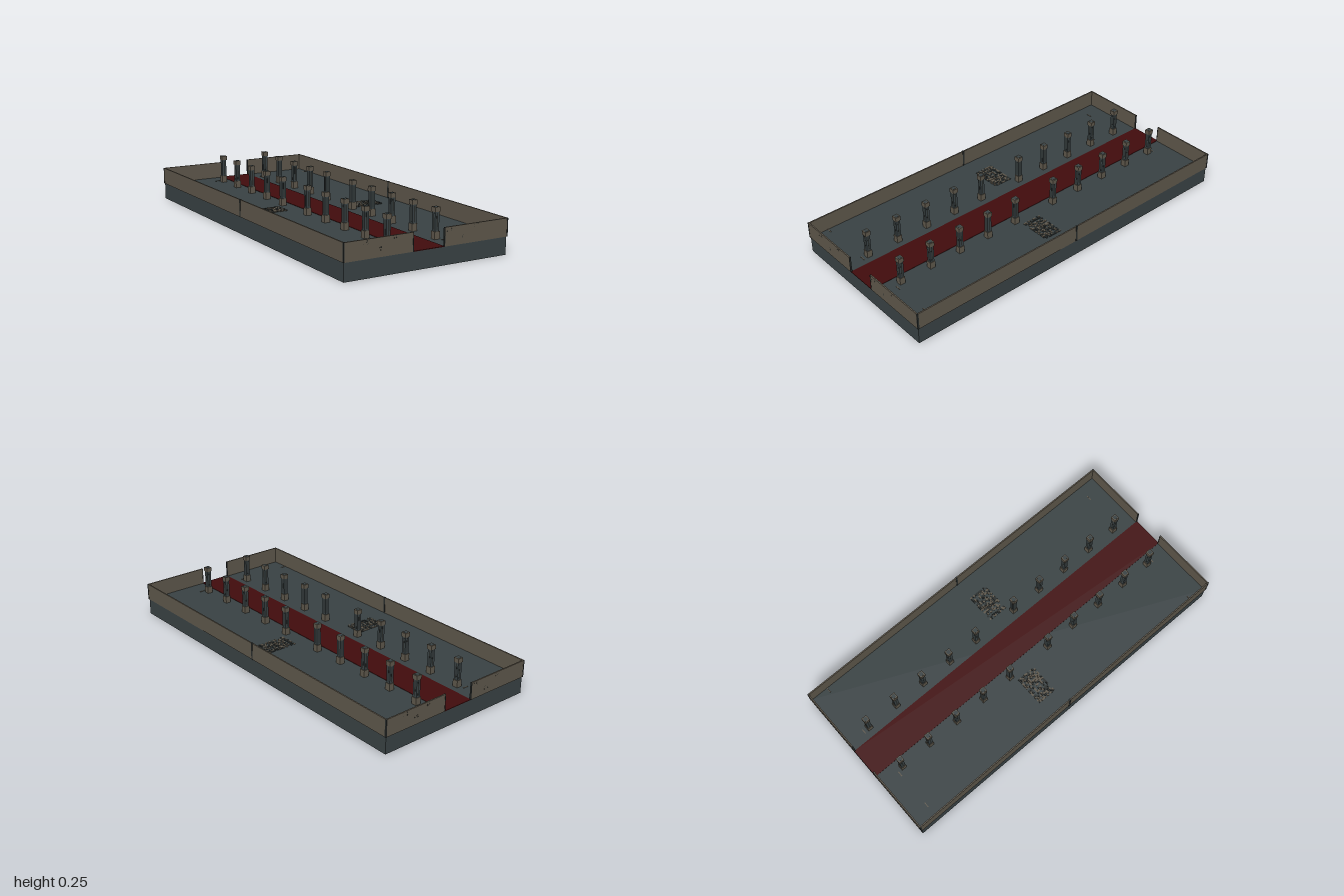
import * as THREE from 'three';

const mat = (name, color) => {
  const m = new THREE.MeshStandardMaterial({ color });
  m.name = name;
  return m;
};

export function createModel() {
  const stone = mat('slate stone', 0x384143);
  const brick = mat('brown stone', 0x5d564a);
  const dark = mat('dark stone', 0x282c2b);
  const red = mat('dark red carpet', 0x410b0c);
  const model = new THREE.Group();
  model.name = 'pillaredHall';

  // Box given by its centre in x and z and its bottom in y
  const box = (parent, name, m, w, h, d, x, y, z) => {
    const mesh = new THREE.Mesh(new THREE.BoxGeometry(w, h, d), m);
    mesh.name = name;
    mesh.position.set(x, y + h / 2, z);
    parent.add(mesh);
    return mesh;
  };
  let seed = 7;
  const rand = () => (seed = (seed * 16807) % 2147483647) / 2147483647;

  const floorY = 0.09;
  box(model, 'floorSlab', stone, 0.906, floorY, 1.99, 0, 0, 0);
  box(model, 'carpet', red, 0.176, 0.003, 1.996, 0, floorY - 0.001, 0);

  // Perimeter walls, open where the carpet passes through
  const wallH = 0.091, t = 0.007;
  for (const sx of [-1, 1]) {
    box(model, 'sideWall', brick, t, wallH, 1.99, sx * 0.4535, floorY, 0);
    box(model, 'wallSeam', dark, t + 0.003, wallH + 0.001, 0.01, sx * 0.4535, floorY, 0);
    for (const sz of [-1, 1]) {
      box(model, 'endWall', brick, 0.364, wallH, t, sx * 0.27, floorY, sz * 0.9955);
      box(model, 'cornerTrim', dark, 0.006, wallH, t + 0.002, sx * 0.4545, floorY, sz * 0.9955);
      box(model, 'gateTrim', dark, 0.004, wallH, t + 0.002, sx * 0.0875, floorY, sz * 0.9955);
    }
  }

  // Pillar: block base, slotted shaft, block cap
  const addPillar = (x, z) => {
    const p = new THREE.Group();
    p.name = 'pillar';
    p.position.set(x, floorY, z);
    box(p, 'pillarBase', brick, 0.03, 0.038, 0.03, 0, 0, 0);
    box(p, 'pillarShaft', stone, 0.024, 0.095, 0.024, 0, 0.038, 0);
    box(p, 'shaftSlotFront', dark, 0.007, 0.08, 0.025, 0, 0.046, 0);
    box(p, 'shaftSlotSide', dark, 0.025, 0.08, 0.007, 0, 0.046, 0);
    box(p, 'pillarCap', brick, 0.03, 0.023, 0.03, 0, 0.132, 0);
    box(p, 'capInset', stone, 0.02, 0.001, 0.02, 0, 0.155, 0);
    model.add(p);
  };
  for (const x of [-0.137, 0.137])
    for (let i = 0; i < 5; i++)
      for (const s of [-1, 1]) addPillar(x, s * (0.132 + i * 0.182));

  // Patches of broken paving, laid out on a fine grid with gaps
  for (const s of [-1, 1]) {
    const patch = new THREE.Group();
    patch.name = 'brokenPaving';
    for (let i = 0; i < 17; i++)
      for (let j = 0; j < 11; j++) {
        const r = rand();
        if (r < 0.25) continue;
        box(patch, 'pavingChip', r < 0.68 ? brick : dark, 0.0095, 0.003, 0.0095,
          s * (0.18 + i * 0.01), floorY, s * (0.005 + j * 0.01));
      }
    model.add(patch);
  }

  // Small chips scattered in rows near both ends
  for (const s of [-1, 1])
    for (const x of [-0.16, 0.137, -0.37, 0.435])
      for (let i = 0; i < 3; i++)
        box(model, 'floorChip', brick, 0.009, 0.002, 0.005, -s * (x + i * 0.01 - 0.01), floorY, s * 0.895);

  // Worn specks on the outer end walls
  const wear = [[-0.342, 0.166], [-0.19, 0.17], [-0.268, 0.125]];
  for (const s of [-1, 1])
    for (const [cx, cy] of [...wear, ...wear.map(([x, y]) => [x + 0.457, y])])
      for (let i = 0; i < 5; i++)
        box(model, 'wallSpeck', dark, 0.003, 0.003, 0.001,
          s * (cx + (rand() - 0.5) * 0.03), cy + (rand() - 0.5) * 0.02, s * 0.9993);

  return model;
}
